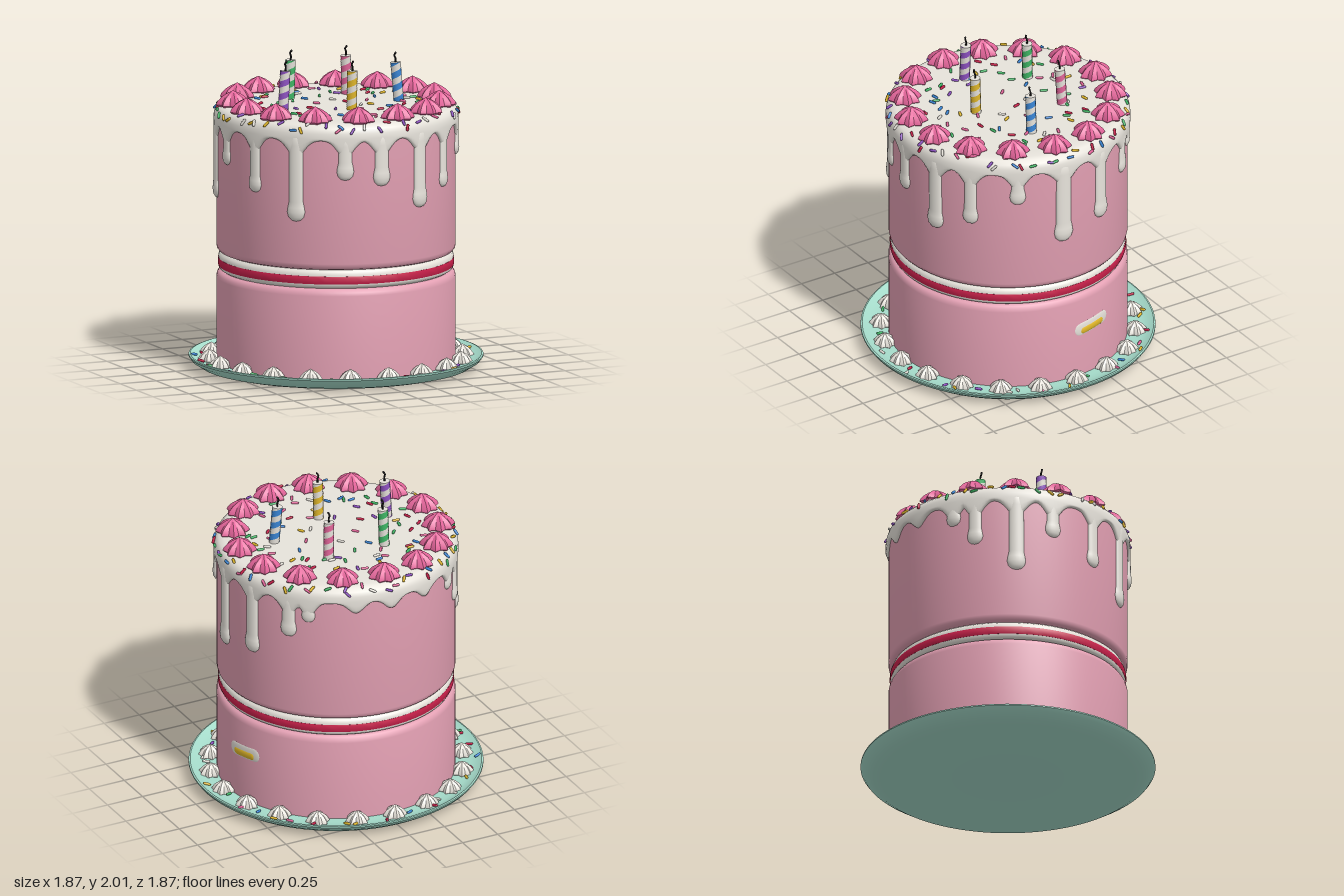
import * as THREE from 'three';
import { mergeGeometries, toCreasedNormals } from 'three/addons/utils/BufferGeometryUtils.js';

const paint = (name, color) => {
  const m = new THREE.MeshStandardMaterial({ color });
  m.name = name;
  return m;
};
const V2 = (list) => list.map(([x, y]) => new THREE.Vector2(x, y));
const rad = THREE.MathUtils.degToRad;

export function createModel() {
  const mat = {
    sponge: paint('sponge pink', 0xe3a0b3), cream: paint('cream white', 0xece8e0),
    jam: paint('jam crimson', 0xc8204a), mint: paint('plate mint', 0xa6dccb),
    rose: paint('rose pink', 0xe3659a), yellow: paint('yellow', 0xe3b92a),
    green: paint('green', 0x3fb866), blue: paint('blue', 0x3a86d6),
    purple: paint('purple', 0x8f52c4), black: paint('wick black', 0x1c1a1a),
  };
  const cake = new THREE.Group();
  cake.name = 'cake';
  const add = (name, geo, material, parent = cake) => {
    const mesh = new THREE.Mesh(geo, material);
    mesh.name = name;
    parent.add(mesh);
    return mesh;
  };
  // Turned solid, profile listed from bottom to top
  const turned = (pts, segs = 96, crease = 0.6) =>
    toCreasedNormals(new THREE.LatheGeometry(V2(pts), segs), crease);

  let seed = 11;
  const rnd = () => {
    seed = (seed * 16807) % 2147483647;
    return seed / 2147483647;
  };

  // Plate, sponge tiers and filling
  add('plate', turned([[0, 0], [0.80, 0], [0.86, 0.015], [0.915, 0.05], [0.933, 0.074], [0.932, 0.083],
    [0.922, 0.086], [0.89, 0.067], [0.85, 0.054], [0.80, 0.05], [0, 0.05]]), mat.mint);
  add('lowerSponge', turned([[0, 0.04], [0.757, 0.04], [0.757, 0.585], [0.753, 0.606], [0.742, 0.622],
    [0.722, 0.63], [0, 0.63]]), mat.sponge);
  add('upperSponge', turned([[0, 0.75], [0.722, 0.75], [0.742, 0.758], [0.753, 0.772], [0.757, 0.792],
    [0.757, 1.60], [0.70, 1.66], [0, 1.66]]), mat.sponge);
  add('creamFilling', turned([[0.6, 0.625], [0.72, 0.63], [0.736, 0.64], [0.744, 0.655], [0.744, 0.72],
    [0.736, 0.738], [0.72, 0.75], [0.6, 0.755]]), mat.cream);
  add('jamFilling', turned([[0.7, 0.66], [0.745, 0.66], [0.748, 0.668], [0.748, 0.702], [0.745, 0.71],
    [0.7, 0.71]]), mat.jam);

  // Drips: angle from the front, lowest height, half width
  const drips = [[-2, 1.285, 0.058], [20, 1.12, 0.062], [39, 1.215, 0.052], [62, 1.37, 0.052],
    [85, 1.06, 0.066], [108, 1.13, 0.062], [129, 1.32, 0.055], [139, 1.44, 0.045], [-139, 1.44, 0.05],
    [-128, 1.29, 0.052], [-108, 1.10, 0.06], [-90, 1.35, 0.052], [-67, 1.22, 0.052],
    [-44, 1.06, 0.06], [-20, 1.33, 0.055]];
  const scallops = [162, 180, -160];
  const gap = (a, b) => Math.abs(((a - b + 540) % 360) - 180);
  const hem = (deg) => {
    let drop = 0;
    for (const [a, , w] of drips) drop = Math.max(drop, 0.12 * Math.exp(-((gap(deg, a) / (w * 95)) ** 2)));
    for (const a of scallops) drop = Math.max(drop, 0.08 * Math.exp(-((gap(deg, a) / 5) ** 2)));
    return 1.585 - drop;
  };

  // Icing cap whose hem follows the drips
  const icing = new THREE.LatheGeometry(V2([[0.745, 1.56], [0.765, 1.563], [0.773, 1.572], [0.775, 1.585],
    [0.775, 1.60], [0.773, 1.63], [0.763, 1.66], [0.742, 1.68], [0.71, 1.689], [0.65, 1.69], [0, 1.69]]),
  240, Math.PI);
  const ip = icing.attributes.position;
  for (let i = 0; i < ip.count; i++) {
    const y = ip.getY(i);
    if (y >= 1.6) continue;
    const deg = THREE.MathUtils.radToDeg(Math.atan2(ip.getX(i), ip.getZ(i)));
    ip.setY(i, 1.6 - ((1.6 - y) / 0.04) * (1.6 - hem(deg)));
  }
  icing.computeVertexNormals();
  add('icing', icing, mat.cream);

  // Bends a flat-backed shape around the cake wall
  const wrap = (geo, deg, radius) => {
    const p = geo.attributes.position;
    for (let i = 0; i < p.count; i++) {
      const a = rad(deg) + p.getX(i) / radius;
      const r = radius + p.getZ(i);
      p.setXYZ(i, r * Math.sin(a), p.getY(i), r * Math.cos(a));
    }
    geo.computeVertexNormals();
    return geo;
  };
  const icingDrips = new THREE.Group();
  icingDrips.name = 'icingDrips';
  cake.add(icingDrips);
  for (const [deg, low, w] of drips) {
    const top = 1.6;
    const geo = new THREE.LatheGeometry(V2([[0, low], [w * 0.5, low + w * 0.13], [w * 0.86, low + w * 0.48],
      [w, low + w], [w * 0.93, low + w * 1.5], [w * 0.8, low + w * 2.1], [w * 0.78, top - 0.05],
      [w * 0.7, top], [0, top + 0.03]]), 20, Math.PI);
    geo.scale(1, 1, 0.5);
    add('icingDrip', wrap(geo, deg, 0.755), mat.cream, icingDrips);
  }

  // Small smear of cream and yellow on the lower wall
  const smear = (name, r, len, depth, deg, y, material) => {
    const geo = new THREE.CapsuleGeometry(r, len, 6, 16, 8);
    geo.rotateZ(Math.PI / 2 + 0.09).scale(1, 1, depth).translate(0, y, 0);
    add(name, wrap(geo, deg, 0.755), material);
  };
  smear('creamSmear', 0.046, 0.19, 0.15, 102, 0.385, mat.cream);
  smear('yellowSmear', 0.026, 0.15, 0.42, 102, 0.373, mat.yellow);

  // Piped star dollops
  const dollop = (r, h) => {
    const geo = new THREE.LatheGeometry(V2([[0.86, 0], [1, 0.12], [0.93, 0.32], [0.7, 0.6], [0.42, 0.82],
      [0.16, 0.95], [0, 1.04]]), 16);
    const p = geo.attributes.position;
    for (let i = 0; i < p.count; i++) {
      const ridge = Math.floor(i / 7) % 2 ? 0.81 : 1.06;
      p.setXYZ(i, p.getX(i) * r * ridge, p.getY(i) * h, p.getZ(i) * r * ridge);
    }
    return toCreasedNormals(geo, 0.5);
  };
  const ring = (name, count, radius, y, geo, material) => {
    const group = new THREE.Group();
    group.name = name + 's';
    cake.add(group);
    for (let i = 0; i < count; i++) {
      const a = Math.PI + (i / count) * Math.PI * 2;
      const mesh = add(name, geo, material, group);
      mesh.position.set(radius * Math.sin(a), y, radius * Math.cos(a));
      mesh.rotation.y = a + rnd() * 0.6;
    }
  };
  ring('topDollop', 15, 0.655, 1.685, dollop(0.103, 0.098), mat.rose);
  ring('baseDollop', 20, 0.805, 0.045, dollop(0.073, 0.08), mat.cream);

  // Candles: twisted cylinders, half the columns coloured, with bent wicks
  const candle = (name, x, z, rx, rz, color) => {
    const rows = 32, cols = 16, h = 0.26;
    const body = new THREE.CylinderGeometry(0.034, 0.034, h, cols, rows);
    const p = body.attributes.position, n = body.attributes.normal;
    const v = new THREE.Vector3(), up = new THREE.Vector3(0, 1, 0);
    for (let i = 0; i < p.count; i++) {
      const turn = (p.getY(i) / h) * Math.PI * 6.4;
      for (const attr of [p, n]) {
        v.fromBufferAttribute(attr, i).applyAxisAngle(up, turn);
        attr.setXYZ(i, v.x, v.y, v.z);
      }
    }
    const side = cols * rows * 6;
    body.clearGroups();
    body.addGroup(0, side / 2, 0);
    body.addGroup(side / 2, body.index.count - side / 2, 1);
    body.translate(0, h / 2, 0);
    const group = new THREE.Group();
    group.name = name;
    group.position.set(x, 1.68, z);
    group.rotation.set(rx, 0, rz);
    cake.add(group);
    add('candleBody', body, [color, mat.cream], group);
    const path = new THREE.CatmullRomCurve3([[0, h - 0.01, 0], [0.002, h + 0.025, 0], [-0.006, h + 0.045, 0.003],
      [0.002, h + 0.06, 0.008]].map((q) => new THREE.Vector3(...q)));
    add('wick', new THREE.TubeGeometry(path, 8, 0.006, 6), mat.black, group);
    add('wickTip', new THREE.SphereGeometry(0.007, 8, 6), mat.black, group).position.set(0.002, h + 0.06, 0.008);
  };
  candle('purpleCandle', -0.40, 0.07, 0, -0.06, mat.purple);
  candle('greenCandle', -0.20, -0.275, 0.03, -0.02, mat.green);
  candle('yellowCandle', 0, 0.24, 0.03, 0, mat.yellow);
  candle('pinkCandle', 0.20, -0.28, 0.05, 0.04, mat.rose);
  candle('blueCandle', 0.40, 0.08, -0.02, 0.08, mat.blue);

  // Sprinkles, merged by colour
  const shades = ['jam', 'yellow', 'blue', 'green', 'purple', 'cream', 'rose'];
  const heaps = shades.map(() => []);
  const scatter = (count, spot) => {
    for (let i = 0; i < count; i++) {
      const a = ((i + rnd()) / count) * Math.PI * 2;
      const [r, y, tilt] = spot();
      const geo = new THREE.CapsuleGeometry(0.009, 0.032, 2, 6);
      geo.rotateZ(Math.PI / 2).rotateY(rnd() * Math.PI).rotateX(tilt);
      geo.translate(0, y, r).rotateY(a);
      heaps[Math.floor(rnd() * shades.length)].push(geo);
    }
  };
  scatter(75, () => [0.06 + 0.5 * Math.sqrt(rnd()), 1.695, 0]);
  scatter(64, () => {
    const t = 0.25 + rnd() * 1.1;
    return [0.715 + 0.062 * Math.sin(t), 1.63 + 0.064 * Math.cos(t), t];
  });
  scatter(36, () => {
    const r = 0.80 + rnd() * 0.1;
    return [r, 0.06 + Math.max(0, r - 0.85) * 0.4, -0.2];
  });
  shades.forEach((s, i) => heaps[i].length && add(s + 'Sprinkles', mergeGeometries(heaps[i]), mat[s]));
  return cake;
}
